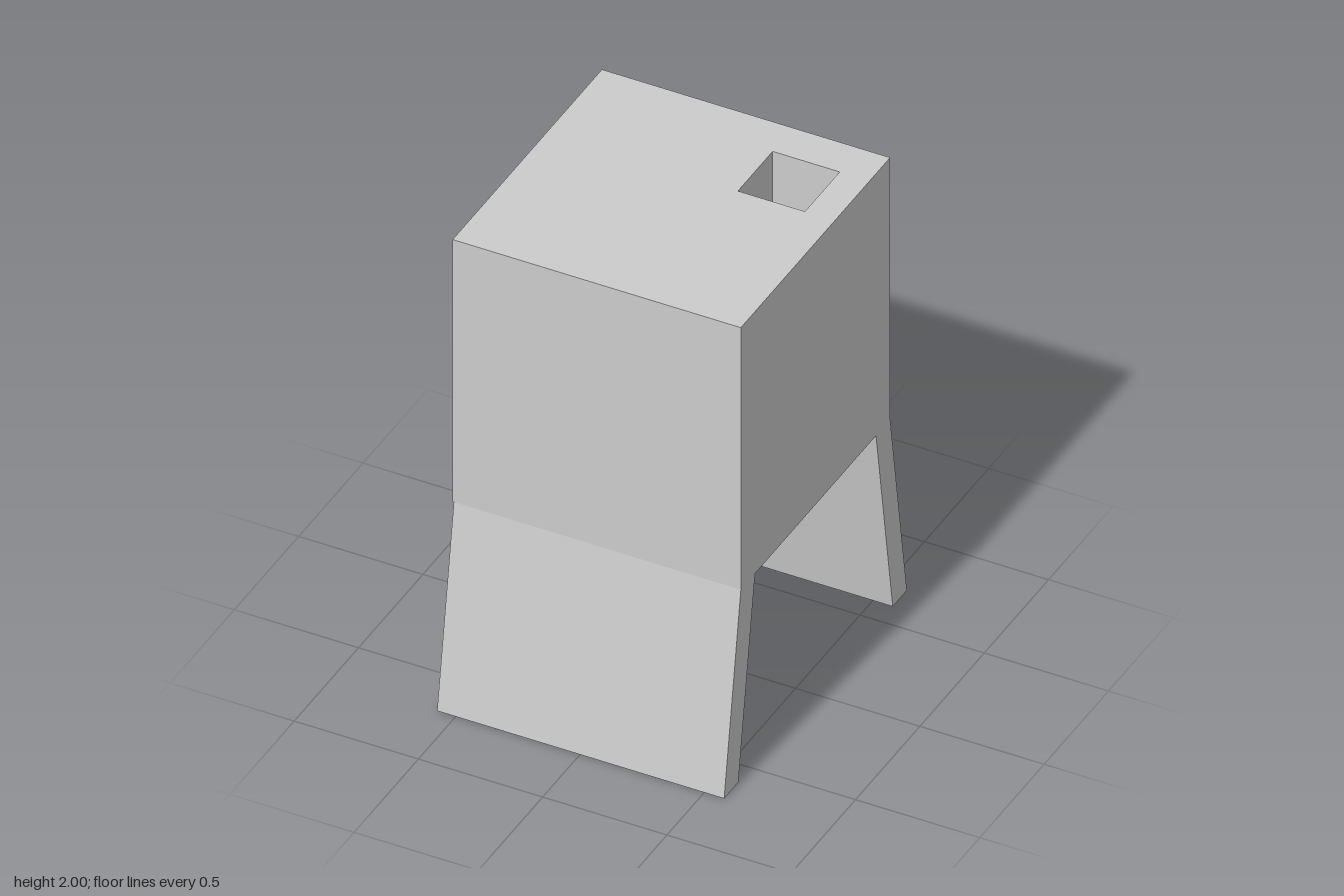
import * as THREE from 'three';
import { mergeGeometries } from 'three/addons/utils/BufferGeometryUtils.js';

const SIZE = 1.16, HALF = SIZE / 2, BASE = 0.84;
const material = new THREE.MeshStandardMaterial({ color: 0xcccccc, flatShading: true });

// Square face of the body, facing +z, with an optional square recess
function face(recess) {
  const shape = new THREE.Shape([[-1, -1], [1, -1], [1, 1], [-1, 1]]
    .map(([x, y]) => new THREE.Vector2(x * HALF, y * HALF)));
  const parts = [];
  if (recess) {
    const { x, y, size, depth } = recess, r = size / 2;
    shape.holes.push(new THREE.Path([[-1, -1], [-1, 1], [1, 1], [1, -1]]
      .map(([a, b]) => new THREE.Vector2(x + a * r, y + b * r))));
    // Four inward-facing walls and the end wall
    for (let i = 0; i < 4; i++) {
      parts.push(new THREE.PlaneGeometry(size, depth).rotateX(-Math.PI / 2)
        .translate(0, -r, -depth / 2).rotateZ(i * Math.PI / 2).translate(x, y, 0));
    }
    parts.push(new THREE.PlaneGeometry(size, size).translate(x, y, -depth));
  }
  parts.push(new THREE.ShapeGeometry(shape));
  return mergeGeometries(parts).translate(0, 0, HALF);
}

// Splayed full-width leg panel, extruded across x
function legGeometry() {
  const profile = new THREE.Shape([[0.47, BASE], [0.58, BASE], [0.71, 0], [0.60, 0]]
    .map(([z, y]) => new THREE.Vector2(-z, y)));
  return new THREE.ExtrudeGeometry(profile, { depth: 1.155, bevelEnabled: false })
    .rotateY(Math.PI / 2).translate(-0.575, 0, 0);
}

export function createModel() {
  const model = new THREE.Group();
  const add = (name, geometry) => {
    const mesh = new THREE.Mesh(geometry, material);
    mesh.name = name;
    model.add(mesh);
    return mesh;
  };

  // Cubic body: side window recess and small top recess
  const q = Math.PI / 2;
  const body = add('body', mergeGeometries([
    face(),
    face().rotateY(2 * q),
    face().rotateY(q),
    face({ x: 0, y: 0, size: 0.62, depth: 0.74 }).rotateY(-q),
    face({ x: 0.325, y: 0.285, size: 0.27, depth: 0.4 }).rotateX(-q),
    face().rotateX(q),
  ]));
  body.position.y = BASE + HALF;

  // Front and back legs
  add('backLeg', legGeometry());
  const front = legGeometry().rotateY(Math.PI).translate(0.005, 0, 0);
  add('frontLeg', front);
  return model;
}
